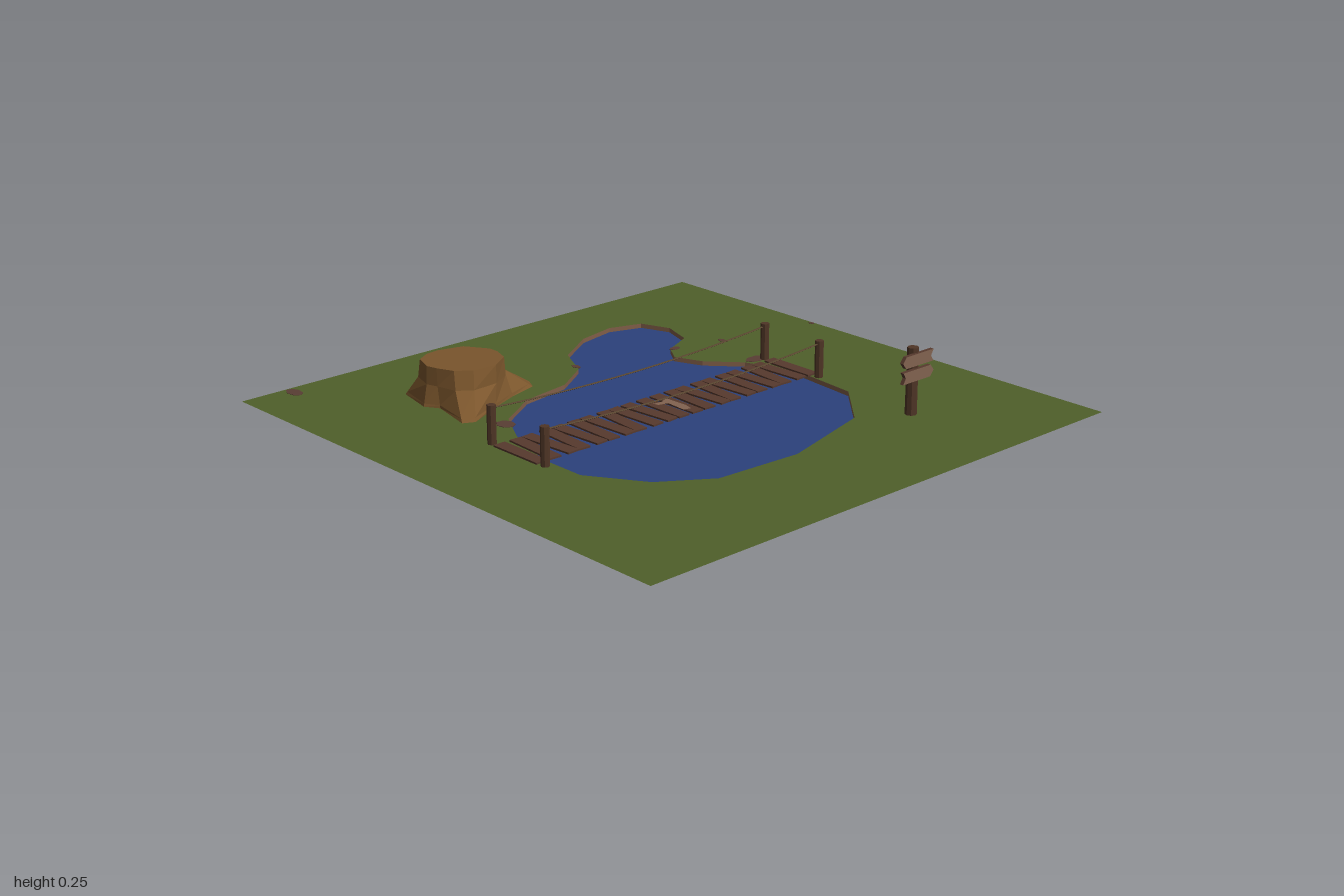
import * as THREE from 'three';

const mat = (name, color, double) => {
  const m = new THREE.MeshStandardMaterial({ color, flatShading: true });
  m.name = name;
  if (double) m.side = THREE.DoubleSide;
  return m;
};

export function createModel() {
  const grass = mat('grass', 0x4f602a, true);
  const water = mat('water', 0x2b417c);
  const earth = mat('earth', 0x805e48, true);
  const stoneBrown = mat('stoneBrown', 0x593e34);
  const plankWood = mat('plankWood', 0x573a2e);
  const postWood = mat('postWood', 0x4f3526);
  const bark = mat('stumpWood', 0x7a552c);
  const signWood = mat('signWood', 0x826350);
  const rope = mat('rope', 0x594630);

  const model = new THREE.Group();
  const GROUND = 0.024;
  const add = (name, geometry, material, x = 0, y = 0, z = 0, parent = model) => {
    const mesh = new THREE.Mesh(geometry, material);
    mesh.name = name;
    mesh.position.set(x, y, z);
    parent.add(mesh);
    return mesh;
  };

  // Flat polygon facing up, from [x, z] points
  const toPoints = (list) => list.map(([x, z]) => new THREE.Vector2(x, -z));
  const flat = (shape) => new THREE.ShapeGeometry(shape).rotateX(-Math.PI / 2);

  // Pond outline
  const pond = [
    [-0.46, -0.27], [-0.30, -0.37], [-0.11, -0.40], [0.03, -0.49], [0.10, -0.63], [0.26, -0.73],
    [0.41, -0.76], [0.53, -0.72], [0.57, -0.61], [0.53, -0.49], [0.41, -0.435], [0.36, -0.36],
    [0.40, -0.26], [0.50, -0.15], [0.565, 0.05], [0.54, 0.30], [0.37, 0.485], [0, 0.585],
    [-0.32, 0.565], [-0.49, 0.45], [-0.61, 0.26], [-0.61, 0.08], [-0.54, -0.13],
  ];
  const lawn = new THREE.Shape(toPoints([[-1, -1], [1, -1], [1, 1], [-1, 1]]));
  lawn.holes.push(new THREE.Path(toPoints(pond)));
  add('lawn', flat(lawn), grass, 0, GROUND);
  const pondShape = new THREE.Shape(toPoints(pond));
  add('water', flat(pondShape), water, 0, 0.008);
  add('pondBed', flat(pondShape), earth);

  // Surface through stacked rings of points, optionally capped
  const loft = (rings, closedTop) => {
    const pos = [], index = [], n = rings[0].length;
    rings.forEach((ring) => ring.forEach((p) => pos.push(...p)));
    for (let r = 0; r < rings.length - 1; r++) {
      for (let i = 0; i < n; i++) {
        const a = r * n + i, b = r * n + (i + 1) % n;
        index.push(a, a + n, b, b, a + n, b + n);
      }
    }
    if (closedTop) {
      const last = (rings.length - 1) * n;
      for (let i = 1; i < n - 1; i++) index.push(last, last + i + 1, last + i);
    }
    const g = new THREE.BufferGeometry();
    g.setAttribute('position', new THREE.Float32BufferAttribute(pos, 3));
    g.setIndex(index);
    const out = g.toNonIndexed();
    out.computeVertexNormals();
    return out;
  };

  // Sides of the pond basin
  add('pondBank', loft([0, GROUND].map((y) => pond.map(([x, z]) => [x, y, z]))), earth);

  // Stump: spreading roots, then a nearly straight cut trunk
  const roots = [
    [-0.44, -0.73], [-0.30, -0.64], [-0.175, -0.51], [-0.20, -0.46], [-0.31, -0.43], [-0.42, -0.385],
    [-0.555, -0.32], [-0.595, -0.34], [-0.56, -0.50], [-0.59, -0.55], [-0.56, -0.69], [-0.49, -0.69],
  ];
  const trunk = [
    [-0.44, -0.665], [-0.35, -0.64], [-0.30, -0.56], [-0.30, -0.52], [-0.32, -0.46], [-0.39, -0.415],
    [-0.48, -0.42], [-0.53, -0.46], [-0.555, -0.52], [-0.565, -0.56], [-0.54, -0.63], [-0.49, -0.66],
  ];
  const between = (t, y) => roots.map(([x, z], i) =>
    [x + (trunk[i][0] - x) * t, y, z + (trunk[i][1] - z) * t]);
  add('stump', loft([between(0, GROUND), between(0.12, 0.034), between(0.85, 0.095), between(1, 0.157)], true), bark);

  // Bridge deck of slightly crooked planks
  const bridge = new THREE.Group();
  bridge.name = 'bridge';
  model.add(bridge);
  const tilt = [0, -0.05, 0.08, -0.06, 0.07, -0.03, 0.06, -0.08, 0.05, 0.09, 0];
  for (let i = 0; i < 21; i++) {
    const plank = add('plank', new THREE.BoxGeometry(0.046, 0.006, 0.21), plankWood,
      -0.632 + i * 0.0602, 0.028, 0, bridge);
    plank.rotation.y = i === 20 ? 0 : tilt[i % 11];
  }

  // Pale worn patch in the middle of the deck
  const patch = new THREE.Shape(toPoints([
    [-0.035, -0.04], [0, -0.035], [0.033, -0.052], [0.036, 0.04], [0.028, 0.075], [0, 0.07],
    [0.005, -0.01], [-0.03, -0.02],
  ]));
  add('plankPatch', flat(patch), signWood, 0, 0.0325, 0, bridge);

  // Corner posts and sagging flat ropes
  for (const z of [-0.13, 0.13]) {
    for (const x of [-0.64, 0.575]) {
      add('bridgePost', new THREE.CylinderGeometry(0.015, 0.015, 0.131, 8), postWood, x, 0.09, z, bridge);
    }
    const sag = new THREE.QuadraticBezierCurve3(
      new THREE.Vector3(-0.64, 0.145, 0), new THREE.Vector3(-0.03, 0.097, 0), new THREE.Vector3(0.575, 0.145, 0));
    add('handRope', new THREE.TubeGeometry(sag, 14, 0.002, 6), rope, 0, 0, z, bridge).scale.z = 2.5;
  }

  // Signpost with two boards notched at one end and pointed at the other
  const sign = new THREE.Group();
  sign.name = 'signpost';
  sign.position.set(0.53, 0, 0.585);
  model.add(sign);
  add('signPost', new THREE.CylinderGeometry(0.019, 0.02, 0.231, 8), postWood, 0, 0.1385, 0, sign);
  const board = new THREE.Shape([
    [-0.075, 0], [-0.06, -0.02], [0.072, -0.02], [0.06, 0], [0.072, 0.02], [-0.06, 0.02],
  ].map(([x, y]) => new THREE.Vector2(x, y)));
  const boardGeometry = new THREE.ExtrudeGeometry(board, { depth: 0.014, bevelEnabled: false });
  const boardWood = [signWood, plankWood];
  add('upperBoard', boardGeometry, boardWood, 0, 0.218, 0.012, sign);
  add('lowerBoard', boardGeometry, boardWood, 0, 0.166, 0.012, sign).scale.x = -1;

  // Flat stones sunk in the lawn: x, z, half width, half depth
  const stones = [
    [-0.822, -0.957, 0.024, 0.038], [-0.497, -0.238, 0.03, 0.035], [0.553, -0.152, 0.044, 0.026],
    [0.61, -0.375, 0.012, 0.022], [0.99, -0.3, 0.008, 0.012], [0.425, -0.428, 0.022, 0.014],
    [0.04, -0.515, 0.012, 0.02],
  ];
  for (const [x, z, w, d] of stones) {
    add('stone', new THREE.CylinderGeometry(1, 1, 0.003, 7), stoneBrown, x, GROUND, z).scale.set(w, 1, d);
  }
  return model;
}
